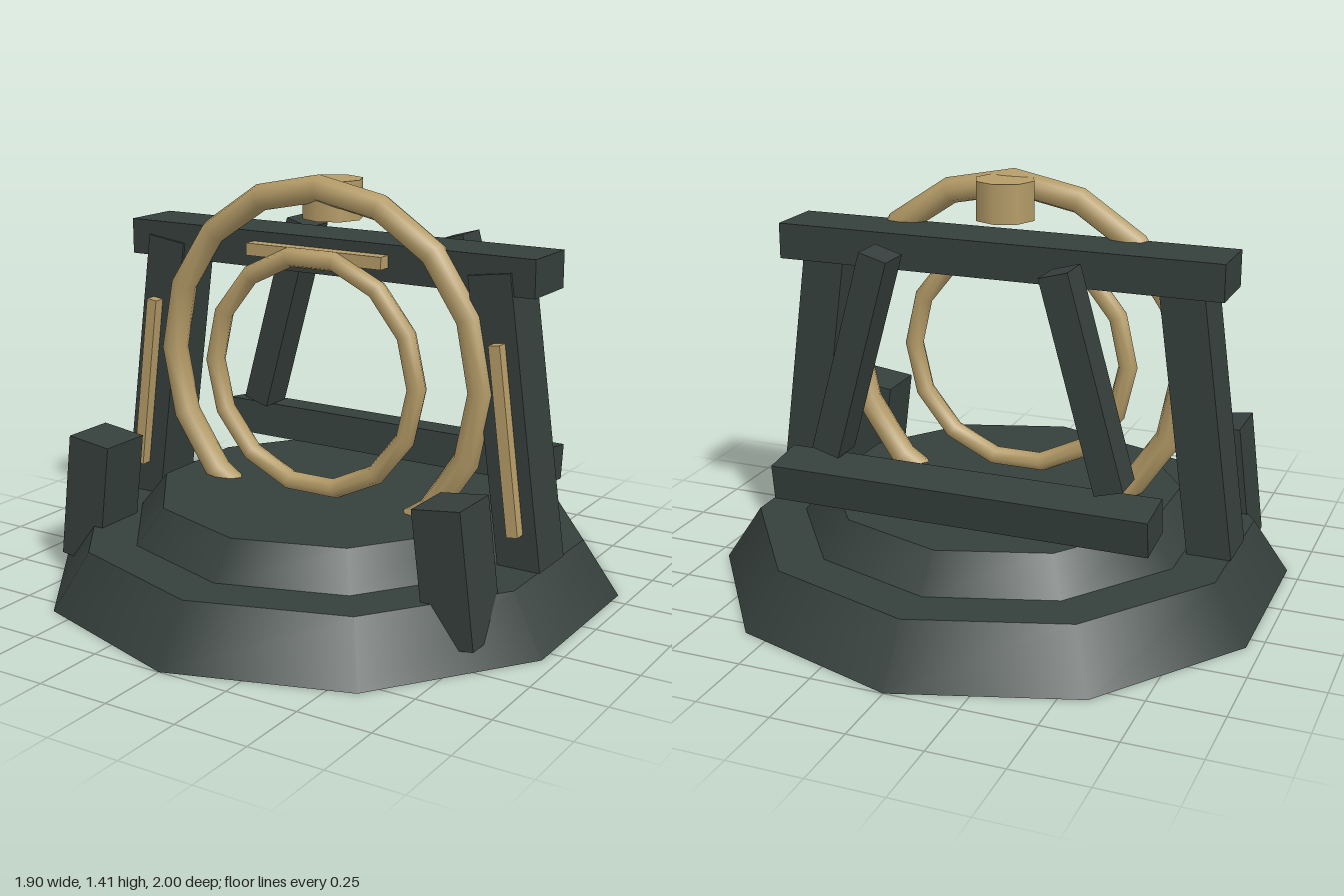
import * as THREE from 'three';

export function createModel() {
  const model = new THREE.Group();
  const dark = new THREE.MeshStandardMaterial({ color: 0x353f3c });
  const brass = new THREE.MeshStandardMaterial({ color: 0xb59c68 });

  function add(name, geometry, material, x, y, z) {
    const mesh = new THREE.Mesh(geometry, material);
    mesh.name = name;
    mesh.position.set(x, y, z);
    model.add(mesh);
    return mesh;
  }
  const box = (name, material, [w, h, d], [x, y, z]) =>
    add(name, new THREE.BoxGeometry(w, h, d), material, x, y, z);

  // Box on the model's left and its mirror image, both leaning inward
  function leaningPair(name, material, size, [x, y, z], lean) {
    for (const [side, label] of [[1, 'left'], [-1, 'right']]) {
      box(label + name, material, size, [side * x, y, z]).rotation.z = side * lean;
    }
  }

  // Two-tier ten-sided plinth
  add('lowerBase', new THREE.CylinderGeometry(0.875, 1, 0.19, 10), dark, 0, 0.095, 0);
  add('upperBase', new THREE.CylinderGeometry(0.615, 0.71, 0.12, 10), dark, 0, 0.25, 0);

  // Main gate frame
  box('topBeam', dark, [1.574, 0.124, 0.214], [0, 1.14, -0.021]);
  leaningPair('Post', dark, [0.15, 0.971, 0.187], [0.698, 0.661, 0.002], 0.137);

  // Rear braces and the tipped crossbar beneath them
  leaningPair('RearBrace', dark, [0.1, 0.722, 0.124], [0.405, 0.834, -0.32], 0.273);
  box('rearCrossbar', dark, [1.32, 0.124, 0.161], [0, 0.398, -0.385]).rotation.x = -0.13;

  // Front buttresses sunk into the base
  leaningPair('FrontButtress', dark, [0.168, 0.441, 0.192], [0.701, 0.274, 0.407], 0.125);

  // Rings
  add('outerRing', new THREE.TorusGeometry(0.61, 0.046, 8, 16), brass, 0, 0.755, 0.085);
  add('innerRing', new THREE.TorusGeometry(0.4, 0.034, 8, 14), brass, 0, 0.745, 0.13);

  // Trim strips and the knob behind the top of the outer ring
  leaningPair('TrimStrip', brass, [0.04, 0.625, 0.05], [0.715, 0.617, 0.11], 0.13);
  box('topTrimStrip', brass, [0.528, 0.042, 0.05], [0, 1.146, 0.108]);
  add('topKnob', new THREE.CylinderGeometry(0.104, 0.104, 0.133, 8), brass, 0, 1.323, 0);

  return model;
}
